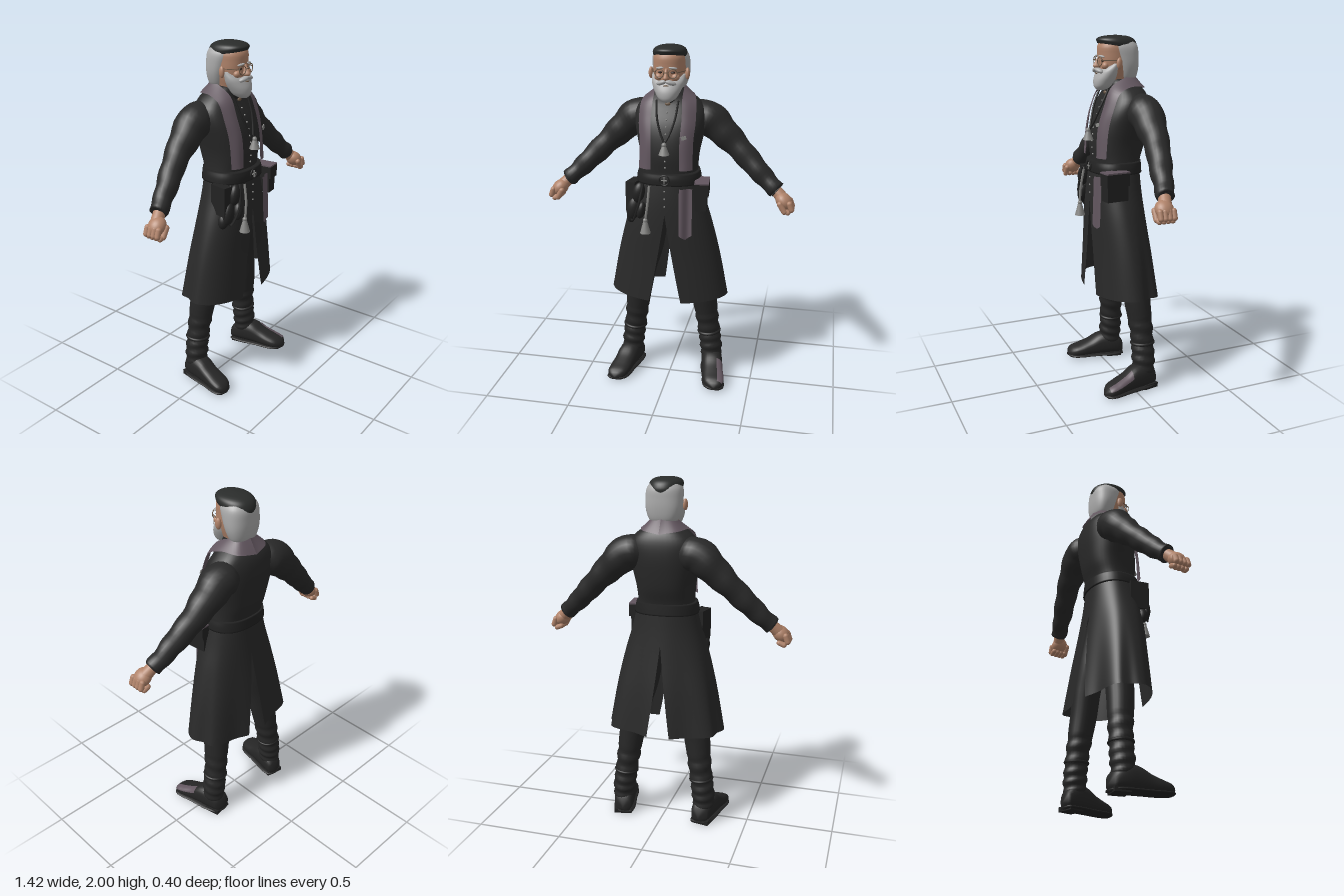
import * as THREE from 'three';
import { mergeVertices } from 'three/addons/utils/BufferGeometryUtils.js';

const mat = (name, color, side = THREE.FrontSide) => {
  const m = new THREE.MeshStandardMaterial({ color, side });
  m.name = name;
  return m;
};
const TAU = Math.PI * 2;

// Value of a profile at a key; rows are [key, a, b, ...] with smooth steps between
function at(S, key) {
  let i = 0;
  while (i < S.length - 2 && key > S[i + 1][0]) i++;
  const h = S[i + 1][0] - S[i][0], k = THREE.MathUtils.clamp((key - S[i][0]) / h, 0, 1);
  const slope = (j, c) => {
    const a = S[Math.max(j - 1, 0)], b = S[Math.min(j + 1, S.length - 1)];
    return (b[c] - a[c]) / (b[0] - a[0]) * h;
  };
  const k2 = k * k, k3 = k2 * k;
  return S[i].slice(1).map((_, n) => {
    const c = n + 1;
    return (2 * k3 - 3 * k2 + 1) * S[i][c] + (k3 - 2 * k2 + k) * slope(i, c) +
      (3 * k2 - 2 * k3) * S[i + 1][c] + (k3 - k2) * slope(i + 1, c);
  });
}

// Smooth surface from fn(u, v) -> [x, y, z], welded at seams
function grid(fn, nu, nv) {
  const pos = [], idx = [];
  for (let j = 0; j <= nv; j++) for (let i = 0; i <= nu; i++) pos.push(...fn(i / nu, j / nv));
  for (let j = 0; j < nv; j++) for (let i = 0; i < nu; i++) {
    const a = j * (nu + 1) + i, b = a + 1, c = a + nu + 1, d = c + 1;
    idx.push(a, b, d, a, d, c);
  }
  let g = new THREE.BufferGeometry();
  g.setAttribute('position', new THREE.Float32BufferAttribute(pos, 3));
  g.setIndex(idx);
  g = mergeVertices(g, 1e-5);
  g.computeVertexNormals();
  return g;
}
const pw = (c, p) => Math.sign(c) * Math.abs(c) ** (2 / p);

// Closed upright body; rows are [y, halfWidth, zFront, zBack]
function loft(S, p = 2, nv = 24, warp = null) {
  const y0 = S[0][0], y1 = S[S.length - 1][0];
  return grid((u, v) => {
    const end = v === 0 || v === 1 ? 0 : 1;
    const t = THREE.MathUtils.clamp((v * nv - 1) / (nv - 2), 0, 1), y = y0 + (y1 - y0) * t;
    const [rx, zf, zb] = at(S, y), a = u * TAU;
    const q = [end * rx * pw(Math.sin(a), p), y, (zf + zb) / 2 + end * (zf - zb) / 2 * pw(Math.cos(a), p)];
    return warp ? warp(q) : q;
  }, 40, nv);
}

// Limb along points [x, y, z, radius]
function limb(P, nv = 28, ripple = () => 0) {
  const curve = new THREE.CatmullRomCurve3(P.map(p => new THREE.Vector3(p[0], p[1], p[2])));
  const R = P.map((p, i) => [i / (P.length - 1), p[3]]);
  return grid((u, v) => {
    const c = curve.getPoint(v), T = curve.getTangent(v);
    const N = new THREE.Vector3(0, 0, 1).cross(T).normalize(), B = T.clone().cross(N);
    const a = u * TAU, r = at(R, v)[0] + ripple(v, a);
    return c.addScaledVector(N, r * Math.cos(a)).addScaledVector(B, r * Math.sin(a)).toArray();
  }, 24, nv);
}

export function createModel() {
  const root = new THREE.Group();
  root.name = 'robedMan';
  const coat = mat('coatBlack', 0x292929, THREE.DoubleSide), boot = mat('bootBlack', 0x262626);
  const leather = mat('leather', 0x222222), capMat = mat('capBlack', 0x2a2c2b);
  const mauve = mat('stoleMauve', 0x62565f, THREE.DoubleSide), skin = mat('skin', 0xb0836a);
  const hairMat = mat('hairGrey', 0xababab), metal = mat('tasselGrey', 0x858583);
  const brass = mat('brass', 0x6e5a48), dark = mat('eyeDark', 0x2e211c);

  const add = (name, geo, m, pos = [0, 0, 0], rot = [0, 0, 0], scale = [1, 1, 1], parent = root) => {
    const o = new THREE.Mesh(geo, m);
    o.name = name;
    o.position.set(...pos); o.rotation.set(...rot); o.scale.set(...scale);
    parent.add(o);
    return o;
  };
  const ball = new THREE.SphereGeometry(1, 20, 14);
  const blob = (name, m, pos, scale, rot, parent) => add(name, ball, m, pos, rot, scale, parent);
  const box = (name, m, pos, size, rot, parent) => add(name, new THREE.BoxGeometry(...size), m, pos, rot, undefined, parent);
  const cord = (name, m, pts, r) => add(name, new THREE.TubeGeometry(
    new THREE.CatmullRomCurve3(pts.map(p => new THREE.Vector3(...p))), 24, r, 6), m);

  // Coat body
  const body = [[1.2, .18, .13, -.12], [1.3, .162, .13, -.12], [1.4, .165, .14, -.15], [1.5, .185, .13, -.165],
    [1.58, .2, .108, -.17], [1.65, .195, .075, -.165], [1.7, .155, .052, -.15], [1.74, .1, .046, -.12], [1.765, .07, .045, -.095]];
  add('coatBody', loft(body, 2.4, 30), coat);
  add('collar', loft([[1.68, .075, .055, -.1], [1.74, .07, .062, -.095], [1.765, .065, .062, -.09]], 2, 10), leather);
  blob('collarClasp', brass, [0, 1.69, .062], [.016, .01, .008]);
  const chest = y => at(body, y)[1];
  for (let i = 0; i < 9; i++) blob('button', metal, [0, 1.35 + i * .037, chest(1.35 + i * .037) + .002], [.005, .005, .005]);
  for (let i = 0; i < 3; i++) blob('skirtButton', metal, [0, 1.22 - i * .045, .158], [.005, .005, .005]);

  // Coat skirt: two halves split at front and back, with folds behind
  const skirt = [[.545, .345, .165, -.19], [.8, .298, .16, -.165], [1, .25, .16, -.143], [1.15, .205, .155, -.13], [1.3, .165, .14, -.122]];
  const half = grid((u, v) => {
    const y = .545 + .755 * v, [rx, zf, zb] = at(skirt, y);
    const t = Math.max(0, (1.08 - y) / .53), a0 = .24 * t, a1 = Math.PI - .16 * t;
    const a = a0 + (a1 - a0) * u, w = (1 - v) ** 1.5;
    const fold = 1 + .06 * w * Math.cos(a * 7 + Math.PI) * THREE.MathUtils.smoothstep(u, .35, .7);
    return [rx * fold * pw(Math.sin(a), 2.2), y + .02 * w * Math.sin(u * Math.PI), (zf + zb) / 2 + (zf - zb) / 2 * fold * pw(Math.cos(a), 2.2)];
  }, 64, 24);

  // Foot: rows are [z, halfWidth, top]
  const foot = [[-.15, .03, .07], [-.13, .05, .11], [-.07, .063, .15], [0, .062, .145], [.06, .06, .11], [.12, .062, .085], [.17, .052, .066], [.2, .015, .04]];
  const footGeo = (grow, top, low, arc = [0, 1], span = [0, 1], caps = true) => grid((u, v) => {
    const f = caps && (v === 0 || v === 1) ? 0 : 1;
    const z = -.15 + .35 * (span[0] + (span[1] - span[0]) * v), [hw, h] = at(foot, z);
    const a = (arc[0] + (arc[1] - arc[0]) * u) * TAU, hi = top || h + grow, mid = (hi + low) / 2;
    return [.25 + .2 * (z + .07) + f * (hw + grow) * pw(Math.cos(a), 2.4), mid + f * (hi - low) / 2 * pw(Math.sin(a), 2.6), z];
  }, 28, 24);
  const wrinkle = (v, a) => v > .55 ? .004 * Math.sin(v * 75 + 1.5 * Math.sin(a)) : 0;

  // Paired parts
  for (const s of [1, -1]) {
    const side = new THREE.Group();
    side.name = s > 0 ? 'leftSide' : 'rightSide';
    side.scale.x = s;
    root.add(side);
    const put = (n, g, m, p, r, sc) => add(n, g, m, p, r, sc, side);
    put('skirtHalf', half, coat);
    put('sleeve', limb([[.12, 1.6, -.07, .085], [.2, 1.59, -.085, .098], [.29, 1.515, -.085, .084], [.38, 1.43, -.075, .068],
      [.47, 1.34, -.05, .062], [.55, 1.262, -.028, .052], [.607, 1.212, -.01, .046], [.6, 1.218, -.012, .02]], 36,
    (v, a) => .003 * Math.sin(v * 40 + 2 * Math.sin(a))), coat);
    // Fist
    put('wrist', limb([[.58, 1.235, -.015, .03], [.62, 1.195, 0, .034], [.65, 1.165, .012, .036]], 8), skin);
    blob('palm', skin, [.65, 1.163, .018], [.054, .042, .05], [0, 0, -.75], side);
    for (let i = 0; i < 4; i++) {
      const z = -.018 + i * .025;
      put('finger', new THREE.CapsuleGeometry(.016, .035, 4, 10), skin, [.688, 1.143, z], [0, 0, .35]);
      put('fingerTip', new THREE.CapsuleGeometry(.015, .028, 4, 10), skin, [.662, 1.113, z], [0, 0, 1.2]);
    }
    put('thumb', new THREE.CapsuleGeometry(.016, .05, 4, 10), skin, [.642, 1.135, .062], [0, 0, .55]);
    // Legs and boots
    put('leg', limb([[.08, 1.08, -.01, .075], [.125, .85, -.03, .085], [.17, .68, -.045, .08], [.197, .53, -.05, .076],
      [.215, .4, -.062, .069], [.232, .27, -.07, .064], [.245, .17, -.07, .066], [.25, .08, -.07, .058]].reverse(), 60,
    (v, a) => wrinkle(1 - v, a)), boot);
    put('bootStrap', new THREE.TorusGeometry(.063, .009, 8, 28), leather, [.232, .27, -.07], [Math.PI / 2, .08, 0]);
    put('foot', footGeo(0, 0, .012), boot);
    put('sole', footGeo(.005, .026, .006), leather);
    box('heel', leather, [.248, .013, -.09], [.105, .026, .09], [0, .2, 0], side);
    // Stole over the shoulder, between an inner and an outer edge
    const edge = pts => new THREE.CatmullRomCurve3(pts.map(p => new THREE.Vector3(...p)));
    const inner = edge([[.08, 1.34, .15], [.08, 1.5, .14], [.085, 1.62, .106], [.08, 1.72, .062], [.076, 1.77, -.02], [.06, 1.782, -.085], [0, 1.78, -.115]]);
    const outer = edge([[.15, 1.34, .12], [.15, 1.5, .104], [.158, 1.6, .08], [.153, 1.695, .035], [.135, 1.725, -.04], [.1, 1.72, -.13], [0, 1.705, -.162]]);
    put('stole', grid((u, v) => {
      const p = inner.getPoint(v).lerp(outer.getPoint(v), u);
      p.z += .012 * Math.sin(u * Math.PI) * (1 - v);
      return p.toArray();
    }, 6, 36), mauve);
    // Face and hair pairs
    blob('ear', skin, [.1, 1.85, .018], [.013, .032, .018], [0, .3, 0], side);
    blob('eye', dark, [.034, 1.864, .091], [.013, .006, .008], undefined, side);
    blob('eyebrow', hairMat, [.036, 1.888, .097], [.024, .006, .009], [0, .3, -.12], side);
    blob('cheek', skin, [.045, 1.838, .08], [.024, .02, .02], undefined, side);
    blob('moustache', hairMat, [.025, 1.812, .108], [.032, .013, .018], [0, .35, -.3], side);
    put('glassesRim', new THREE.TorusGeometry(.024, .0025, 6, 24), brass, [.036, 1.86, .108], [0, .15, 0]);
    box('glassesArm', brass, [.08, 1.866, .06], [.003, .004, .1], [0, -.4, 0], side);
    // Pendant cord
    const c = [[.06, 1.71, .068], [.05, 1.62, .108], [.025, 1.54, .136], [0, 1.49, .155]].map(p => [p[0] * s, p[1], p[2]]);
    cord('pendantCord', leather, c, .006);
  }
  add('bootScuff', footGeo(.003, 0, .012, [.04, .2], [.5, .93], false), mauve);

  // Head
  add('head', loft([[1.7, .05, .04, -.07], [1.76, .062, .07, -.075], [1.8, .075, .095, -.09], [1.85, .086, .097, -.1],
    [1.9, .088, .1, -.11], [1.95, .084, .097, -.11], [1.985, .055, .06, -.08]], 2.2, 22), skin);
  add('nose', loft([[1.822, .012, .118, .06], [1.833, .019, .132, .07], [1.85, .014, .126, .07], [1.885, .009, .104, .07]], 2, 14), skin);
  box('glassesBridge', brass, [0, 1.866, .119], [.026, .004, .004]);
  add('hair', loft([[1.75, .06, -.02, -.095], [1.775, .08, -.005, -.112], [1.83, .099, .014, -.122], [1.89, .103, .036, -.123],
    [1.94, .098, .055, -.119], [1.97, .08, .05, -.1]], 2.4, 22), hairMat);
  add('beard', loft([[1.705, .018, .11, .06], [1.72, .045, .124, .03], [1.755, .068, .126, .005], [1.79, .084, .113, -.005],
    [1.815, .09, .098, -.005], [1.85, .092, .055, -.005]], 2.1, 20), hairMat);
  blob('lowerLip', brass, [0, 1.796, .114], [.016, .004, .006]);
  add('cap', loft([[1.94, .09, .1, -.122], [1.962, .092, .108, -.122], [1.985, .078, .09, -.1], [1.997, .045, .05, -.055], [2, .01, .01, -.01]], 2.1, 16,
    ([x, y, z]) => [x, y + z * .17 * Math.min(1, (2 - y) / .05), z]), capMat);

  // Belt with ring buckle
  add('belt', loft([[1.25, .184, .157, -.132], [1.285, .18, .158, -.131], [1.315, .172, .152, -.13]], 2.4, 10), leather);
  add('buckle', new THREE.TorusGeometry(.028, .004, 6, 24), leather, [0, 1.285, .162]);
  box('buckleBar', metal, [0, 1.285, .164], [.034, .005, .006]);
  box('bucklePin', metal, [0, 1.285, .164], [.005, .04, .006]);

  // Hanging end of the stole
  add('stoleEnd', grid((u, v) => {
    const x = .083 + .072 * u, y = .945 + .295 * v + .025 * (1 - v) * Math.abs(2 * u - 1);
    return [x, y, .166 + .01 * (1 - v) + .006 * Math.sin(u * 7) - .02 * u];
  }, 12, 12), mauve);
  box('stolePatch', metal, [.105, 1.525, .15], [.028, .02, .005], [-.15, .3, .3]);

  // Left hip pouch
  box('pouch', leather, [.195, 1.19, .085], [.065, .15, .13], [0, .1, 0]);
  box('pouchFlap', leather, [.2, 1.235, .087], [.078, .07, .142], [0, .1, 0]);
  box('pouchTrim', mauve, [.2, 1.274, .087], [.08, .008, .144], [0, .1, 0]);

  // Right hip bundle
  box('bundleBag', leather, [-.19, 1.17, .08], [.055, .17, .11], [0, -.2, 0]);
  [[-.15, 1.2, .14, .035, .06], [-.185, 1.1, .125, .038, .07], [-.2, 1.05, .1, .03, .045], [-.135, 1.1, .15, .025, .05]].forEach(([x, y, z, r, h]) =>
    blob('bundlePouch', leather, [x, y, z], [r, h, .03], [0, 0, -.2]));
  cord('bundleLoop', leather, [[-.12, 1.26, .155], [-.15, 1.12, .17], [-.19, 1.03, .14], [-.21, 1.14, .12], [-.17, 1.26, .13]], .007);

  // Tassels: knot and flared fringe
  const tassel = (x, y, z, h) => {
    blob('tasselKnot', metal, [x, y, z], [.013, .014, .013]);
    add('tasselFringe', new THREE.CylinderGeometry(.011, .03, h, 14), metal, [x, y - h / 2 - .004, z]);
  };
  tassel(0, 1.485, .165, .05);
  cord('tasselCord', metal, [[-.085, 1.25, .16], [-.092, 1.15, .176], [-.105, 1.05, .18]], .007);
  tassel(-.105, 1.05, .178, .07);
  return root;
}
